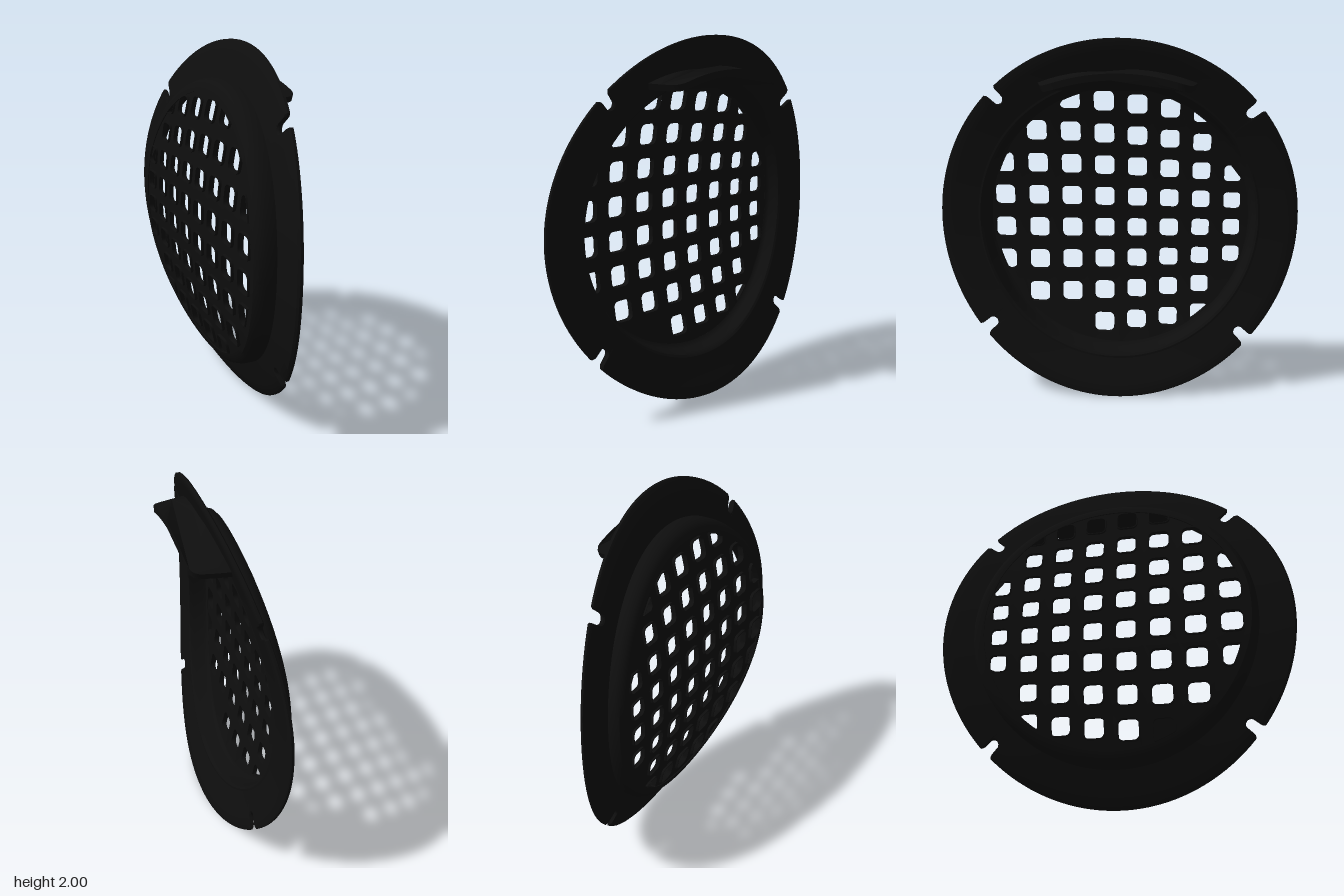
import * as THREE from 'three';
import { mergeGeometries, toCreasedNormals } from 'three/addons/utils/BufferGeometryUtils.js';

const CURVE = 0.18; // forward sweep of the cover towards its top and bottom
const MESH_RADIUS = 0.727;
const V2 = THREE.Vector2;

// Moves every vertex by a rule, then rebuilds the normals.
function reshape(geometry, rule) {
  const pos = geometry.attributes.position;
  const v = new THREE.Vector3();
  for (let i = 0; i < pos.count; i++) {
    rule(v.fromBufferAttribute(pos, i));
    pos.setXYZ(i, v.x, v.y, v.z);
  }
  geometry.computeVertexNormals();
  return toCreasedNormals(geometry, 0.6);
}

// Sweeps a flat part forward; sunken parts also lean slightly to one side.
const bend = (geometry) => reshape(geometry, (v) => {
  v.z += CURVE * v.y * v.y - 0.28 * v.x * Math.min(v.z, 0);
});

function plate(outline, holes, back, front) {
  const shape = new THREE.Shape(outline);
  shape.holes = holes.map((h) => new THREE.Path(h));
  return new THREE.ExtrudeGeometry(shape, { depth: front - back, bevelEnabled: false })
    .translate(0, 0, back);
}

// Rim outline as [angle, radius]: a circle cut by four round-ended slots.
function rimOutline() {
  const slots = [40, 134, 220, 317].map((d) => (d * Math.PI) / 180);
  const half = 0.032, flare = 0.009;
  const points = [];
  slots.forEach((a, k) => {
    for (let i = 0; i <= 10; i++) {
      const t = (i / 10) * Math.PI;
      points.push([a - half * Math.cos(t), 0.938 - 0.03 * Math.sin(t)]);
    }
    points.push([a + half + 0.001, 0.988]);
    const start = a + half + flare;
    const next = k < 3 ? slots[k + 1] : slots[0] + Math.PI * 2;
    const end = next - half - flare;
    for (let i = 0; i <= 36; i++) points.push([start + ((end - start) * i) / 36, 1]);
    points.push([next - half - 0.001, 0.988]);
  });
  return points;
}

// Rim skin: one closed cross-section at every outline point.
function rimGeometry() {
  const outline = rimOutline();
  const section = [
    [0, -0.015], [0.35, -0.015], [0.7, -0.015], [0.95, -0.014], [1, -0.007],
    [1, 0.007], [0.95, 0.014], [0.7, 0.015], [0.35, 0.015], [0, 0.015],
  ];
  const positions = [], index = [];
  const n = outline.length, m = section.length;
  outline.forEach(([a, radius], i) => section.forEach(([s, w], k) => {
    const r = THREE.MathUtils.lerp(0.775, radius, s);
    positions.push(r * Math.cos(a), r * Math.sin(a), w);
    const i2 = (i + 1) % n, k2 = (k + 1) % m;
    const p = i * m + k, q = i2 * m + k, s2 = i2 * m + k2, t = i * m + k2;
    index.push(p, q, s2, p, s2, t);
  }));
  const geometry = new THREE.BufferGeometry();
  geometry.setAttribute('position', new THREE.Float32BufferAttribute(positions, 3));
  geometry.setIndex(index);
  return geometry;
}

// Rounded square hole, trimmed to the circle of the mesh.
function holeOutline(centre, size) {
  const r = size * 0.25, h = size / 2 - r;
  const points = [];
  for (let c = 0; c < 4; c++) {
    const sx = c === 0 || c === 3 ? 1 : -1, sy = c < 2 ? 1 : -1;
    for (let i = 0; i <= 5; i++) {
      const t = ((c + i / 5) * Math.PI) / 2;
      points.push(new V2(sx * h + r * Math.cos(t), sy * h + r * Math.sin(t)).add(centre));
    }
  }
  const nearest = points.reduce((a, b) => (b.length() < a.length() ? b : a)).clone();
  if (nearest.length() > MESH_RADIUS - 0.02) return null;
  // Extra points along the sides keep the trimmed edge round.
  const dense = points.flatMap((p, i) => {
    const q = points[(i + 1) % points.length];
    return p.distanceTo(q) > size * 0.3 ? [0, 0.25, 0.5, 0.75].map((t) => p.clone().lerp(q, t)) : [p];
  });
  return dense.map((p) => {
    if (p.length() <= MESH_RADIUS) return p;
    let lo = 0, hi = 1;
    for (let k = 0; k < 20; k++) {
      const mid = (lo + hi) / 2;
      if (nearest.clone().lerp(p, mid).length() < MESH_RADIUS) lo = mid; else hi = mid;
    }
    return nearest.clone().lerp(p, lo);
  });
}

// Grid of the mesh; the rows draw together towards the rear edge.
const columnAt = (i) => 0.185 * i - 0.011 + 0.0016 * i * i;
const pitchAt = (u) => 0.181 + 0.027 * u - 0.02 * u * u;
const gridPoint = (i, j) => new V2(-columnAt(i), 0.015 + pitchAt(columnAt(i)) * j);

// Eight by eight cells, each a small plate round its hole, with a collar behind.
function meshParts() {
  const cells = [], collars = [];
  const widen = (t) => (Math.abs(t) === 4 ? t * 1.15 : t);
  for (let i = -3.5; i < 4; i++) {
    for (let j = -3.5; j < 4; j++) {
      const corners = [[-0.5, -0.5], [0.5, -0.5], [0.5, 0.5], [-0.5, 0.5]]
        .map(([a, b]) => gridPoint(widen(i + a), widen(j + b)));
      if (corners.every((p) => p.length() > 0.76)) continue;
      corners.forEach((p) => p.clampLength(0, 0.76));
      const centre = gridPoint(i, j);
      const cornerCell = Math.abs(i) > 3 && Math.abs(j) > 2;
      const hole = cornerCell ? null : holeOutline(centre, pitchAt(columnAt(i)) * 0.615);
      cells.push(plate(corners, hole ? [hole] : [], -0.098, -0.083));
      if (!hole) continue;
      const middle = hole.reduce((s, p) => s.add(p), new V2()).divideScalar(hole.length);
      const outer = hole.map((p) => p.clone().sub(middle).multiplyScalar(1.1).add(middle));
      collars.push(plate(outer, [hole], -0.112, -0.097));
    }
  }
  return { cells: mergeGeometries(cells), collars: mergeGeometries(collars) };
}

// Shallow arched hood over the mesh, drawn flat as (angle, depth) and rolled.
function visorGeometry() {
  const outline = [];
  const steps = 24;
  for (let i = 0; i <= steps; i++) {
    const a = -0.38 + (0.76 * i) / steps;
    outline.push(new V2(a, CURVE * (1.12 * Math.cos(a) - 0.3) ** 2));
  }
  const corner = [[0.366, 0.19], [0.352, 0.265], [0.338, 0.29], [0.315, 0.305]];
  corner.forEach(([a, w]) => outline.push(new V2(a, w)));
  for (let i = 0; i <= steps; i++) outline.push(new V2(0.29 - (0.58 * i) / steps, 0.31));
  corner.slice().reverse().forEach(([a, w]) => outline.push(new V2(-a, w)));
  return reshape(plate(outline, [], 0, 0.035), (v) => {
    const r = 1.1 + v.z + 0.1 * (0.31 - v.y);
    v.set(-r * Math.sin(v.x), r * Math.cos(v.x) - 0.308, v.y);
  });
}

export function createModel() {
  const material = new THREE.MeshStandardMaterial({ color: 0x0e0e0e });
  const cover = new THREE.Group();
  cover.name = 'cover';
  const add = (name, geometry) => {
    const mesh = new THREE.Mesh(geometry, material);
    mesh.name = name;
    cover.add(mesh);
  };

  add('rim', bend(rimGeometry()));

  // Recess wall between the rim and the sunken mesh
  const profile = [
    [0.732, -0.082], [0.745, -0.076], [0.754, -0.06], [0.76, -0.01], [0.768, 0.012],
    [0.78, 0.018], [0.795, 0.014], [0.802, -0.015], [0.8, -0.06], [0.788, -0.09], [0.765, -0.105],
    [0.732, -0.105], [0.732, -0.082],
  ].map(([r, w]) => new V2(r, w)).reverse();
  add('recessWall', bend(new THREE.LatheGeometry(profile, 120).rotateX(Math.PI / 2)));

  const { cells, collars } = meshParts();
  add('mesh', bend(cells));
  add('holeCollars', bend(collars));
  add('visor', visorGeometry());

  // Turn the cover to face mostly sideways
  cover.rotation.y = 1.243;
  cover.position.set(-0.03, 1, 0);
  const model = new THREE.Group();
  model.name = 'grilleCover';
  model.add(cover);
  return model;
}
